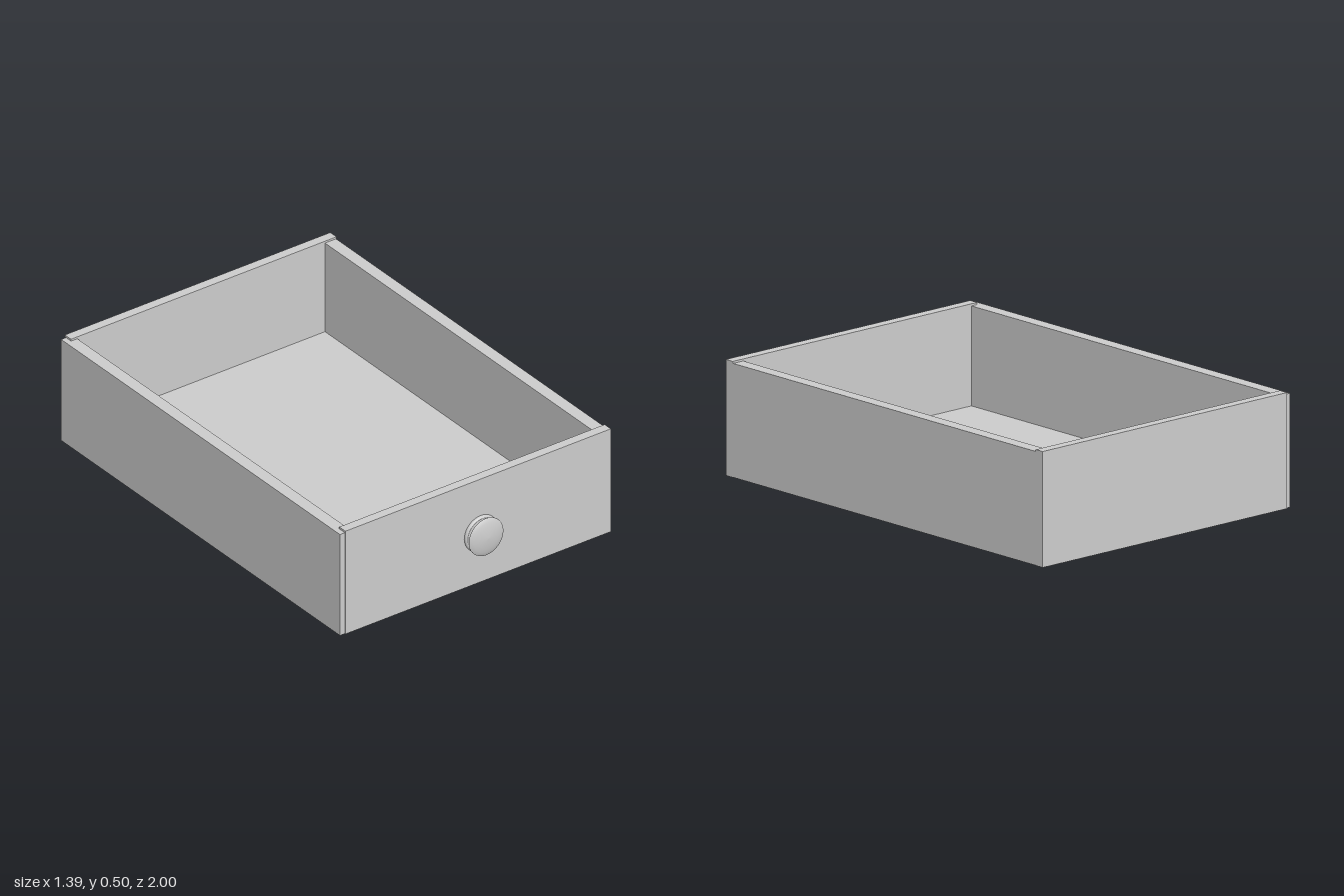
import * as THREE from 'three';

export function createModel() {
  const group = new THREE.Group();
  const mat = new THREE.MeshStandardMaterial({ color: 0xcccccc });

  // Box given by its min and max corners
  const board = (name, [x0, y0, z0], [x1, y1, z1]) => {
    const mesh = new THREE.Mesh(new THREE.BoxGeometry(x1 - x0, y1 - y0, z1 - z0), mat);
    mesh.position.set((x0 + x1) / 2, (y0 + y1) / 2, (z0 + z1) / 2);
    mesh.name = name;
    group.add(mesh);
  };

  // Front and back boards, slightly taller than the sides
  board('frontPanel', [-0.67, 0, 0.9], [0.695, 0.497, 0.943]);
  board('backPanel', [-0.67, 0, -1], [0.695, 0.497, -0.957]);

  // The right side runs past the ends of the front and back boards
  board('rightSide', [-0.695, 0, -0.957], [-0.638, 0.488, 0.9]);
  board('rightSideFrontEnd', [-0.695, 0, 0.9], [-0.67, 0.488, 0.939]);
  board('rightSideBackEnd', [-0.695, 0, -0.992], [-0.67, 0.488, -0.957]);
  board('leftSide', [0.636, 0, -0.957], [0.693, 0.488, 0.9]);

  // Floor between the boards
  board('floor', [-0.638, 0, -0.957], [0.636, 0.06, 0.9]);

  // Knob parts: profiles of [radius, distance from the front board]
  const knob = new THREE.Group();
  knob.name = 'knob';
  const turned = (name, profile) => {
    const points = profile.map(([r, d]) => new THREE.Vector2(r, d));
    const mesh = new THREE.Mesh(new THREE.LatheGeometry(points, 40), mat);
    mesh.rotation.x = Math.PI / 2;
    mesh.name = name;
    knob.add(mesh);
  };
  turned('knobBase', [[0.084, 0], [0.084, 0.006], [0.082, 0.011], [0.075, 0.013]]);
  turned('knobBaseFace', [[0.075, 0.013], [0, 0.013]]);
  turned('knobNeck', [[0.022, 0.013], [0.022, 0.04]]);
  turned('knobCapBack', [[0, 0.036], [0.075, 0.036], [0.088, 0.037]]);
  turned('knobCap', [[0.088, 0.037], [0.087, 0.041], [0.07, 0.047], [0.05, 0.052], [0.022, 0.056], [0, 0.057]]);
  knob.position.set(0.025, 0.237, 0.943);
  group.add(knob);

  return group;
}
